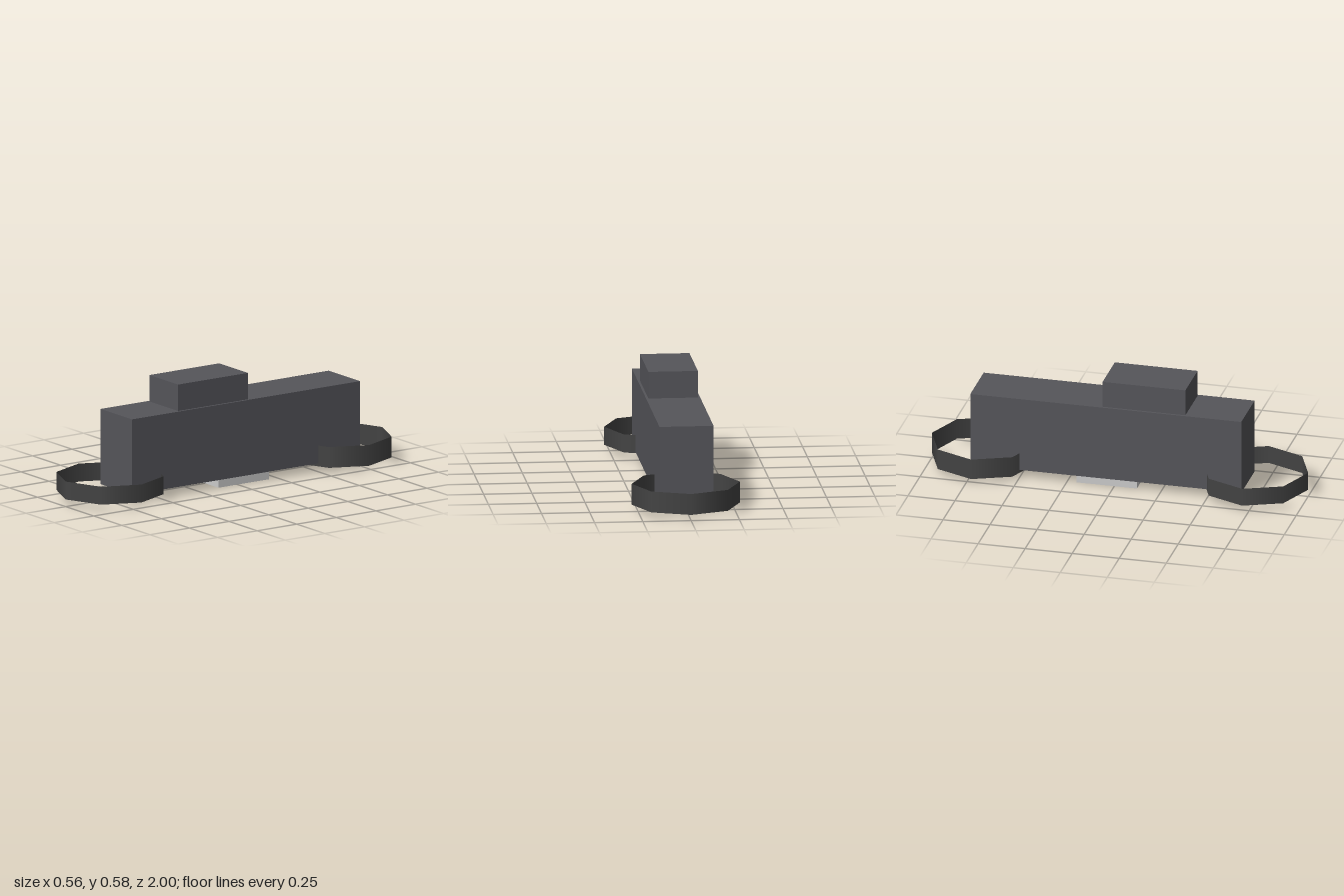
import * as THREE from 'three';

const bodyMat = new THREE.MeshStandardMaterial({ color: 0x55555a });
const ringMat = new THREE.MeshStandardMaterial({ color: 0x444444, side: THREE.DoubleSide });
const plateMat = new THREE.MeshStandardMaterial({ color: 0xcccccc });

// Box given by its x half-width and its y and z ranges
function box(name, halfX, [y0, y1], [z0, z1], material) {
  const mesh = new THREE.Mesh(new THREE.BoxGeometry(halfX * 2, y1 - y0, z1 - z0), material);
  mesh.position.set(0, (y0 + y1) / 2, (z0 + z1) / 2);
  mesh.name = name;
  return mesh;
}

// Open eight-sided band, visible from inside and outside
function ring(name, [y0, y1], z) {
  const mesh = new THREE.Mesh(new THREE.CylinderGeometry(0.28, 0.28, y1 - y0, 8, 1, true), ringMat);
  mesh.position.set(0, (y0 + y1) / 2, z);
  mesh.name = name;
  return mesh;
}

export function createModel() {
  const model = new THREE.Group();
  model.name = 'model';
  model.add(
    box('mainBody', 0.14, [0.046, 0.445], [-0.76, 0.68], bodyMat),
    box('topBlock', 0.128, [0.445, 0.585], [-0.06, 0.38], bodyMat),
    box('bottomPlate', 0.12, [0, 0.05], [-0.2, 0.12], plateMat),
    ring('frontRing', [0.038, 0.133], 0.72),
    ring('backRing', [0.03, 0.14], -0.72),
  );
  return model;
}
